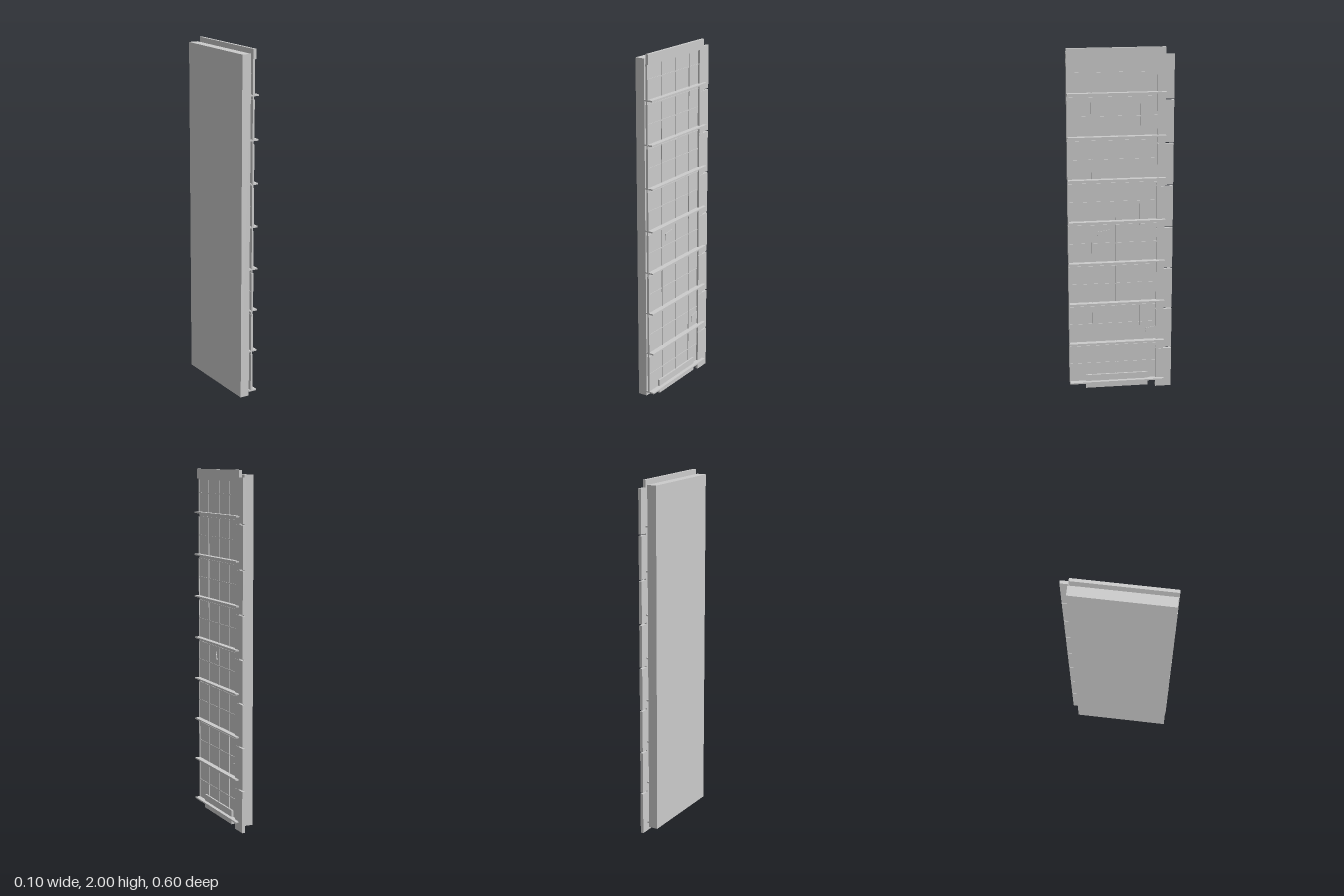
import * as THREE from 'three';

const grey = new THREE.MeshStandardMaterial({ color: 0xcccccc, flatShading: true });

// Box given by its limits on each axis
function block(parent, name, x0, x1, y0, y1, z0, z1) {
  const mesh = new THREE.Mesh(new THREE.BoxGeometry(x1 - x0, y1 - y0, z1 - z0), grey);
  mesh.position.set((x0 + x1) / 2, (y0 + y1) / 2, (z0 + z1) / 2);
  mesh.name = name;
  parent.add(mesh);
}

// Small four-cornered plate on the glazing, corners as [z, y]
function openPane(parent, corners) {
  const shape = new THREE.Shape(corners.map(([z, y]) => new THREE.Vector2(-z, y)));
  const geo = new THREE.ExtrudeGeometry(shape, { depth: 0.022, bevelEnabled: false });
  geo.rotateY(Math.PI / 2);
  const mesh = new THREE.Mesh(geo, grey);
  mesh.position.x = 0.001;
  mesh.name = 'openPane';
  parent.add(mesh);
}

export function createModel() {
  const model = new THREE.Group();
  model.name = 'facadePanel';

  // Backing slab, top band and bottom board
  block(model, 'backSlab', -0.054, 0, 0.025, 1.975, -0.255, 0.295);
  block(model, 'topBand', 0.013, 0.03, 1.945, 2, -0.25, 0.299);
  block(model, 'bottomBoard', 0.012, 0.029, 0.012, 0.093, -0.16, 0.205);

  const floors = 8, pitch = 0.243;
  const bars = [0.297, 0.163, 0.026, -0.111, -0.207];
  for (let i = 0; i < floors; i++) {
    const floor = new THREE.Group();
    floor.name = 'floor' + (i + 1);
    model.add(floor);
    const y = 0.051 + i * pitch;
    const top = i === floors - 1 ? 1.945 : y + 0.222;

    // Projecting ledge
    block(floor, 'ledge', 0, 0.05, y - 0.004, y + 0.004, -0.252, 0.297);

    // Glass panes with upright bars between them
    for (let k = 0; k < 4; k++) {
      block(floor, 'pane', 0.012, 0.019, y, y + pitch - (i === floors - 1 ? 0.049 : 0), bars[k + 1], bars[k]);
      block(floor, 'mullion', 0.011, 0.023, y, top, bars[k] - 0.004, bars[k] + 0.002);
    }

    // Cross bars at mid height and head of the floor
    for (const h of [y + 0.112, top - 0.003])
      block(floor, 'transom', 0.011, 0.022, h - 0.003, h + 0.003, -0.207, 0.297);

    // Edge column piece with a narrow joint above it
    const base = i * 0.245;
    block(floor, 'columnPiece', 0.013, 0.03, base, base + (i === floors - 1 ? 0.245 : 0.237), -0.297, -0.205);
  }
  // Strip that closes the joints on the inner half of the column
  block(model, 'columnStrip', 0.013, 0.028, 0.004, 1.955, -0.25, -0.206);

  openPane(model, [[0.132, 0.925], [0.05, 0.925], [0.064, 0.972], [0.128, 0.962]]);
  openPane(model, [[-0.142, 0.33], [-0.21, 0.33], [-0.21, 0.378], [-0.148, 0.366]]);

  return model;
}
